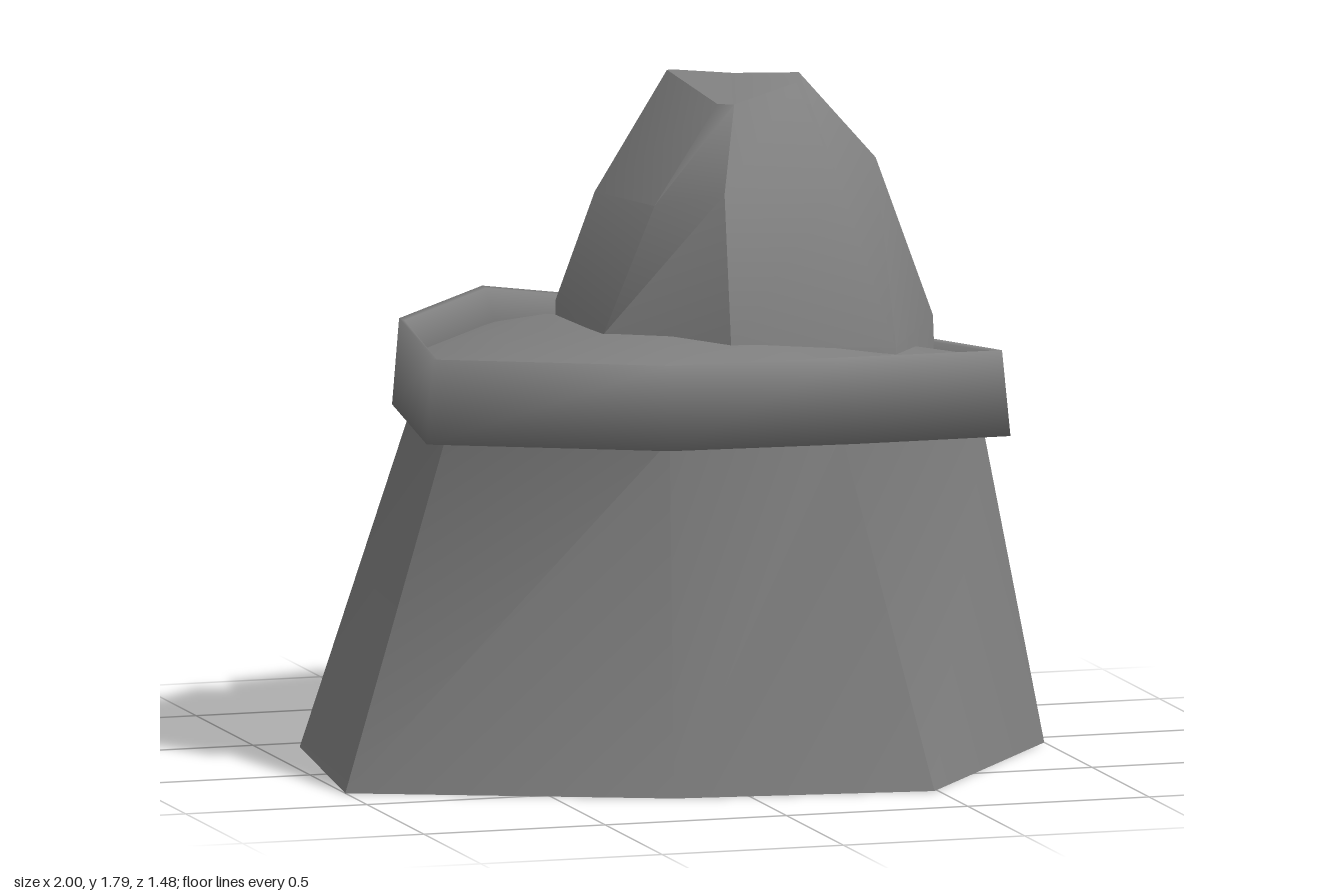
import * as THREE from 'three';
import { toCreasedNormals } from 'three/addons/utils/BufferGeometryUtils.js';

// Skin a stack of equal-length rings of [x, y, z]; optional bottom cap and top cap centres
function loft(rings, { bottom, top, crease }) {
  const pos = [];
  const tri = (a, b, c) => pos.push(...a, ...b, ...c);
  const n = rings[0].length;
  for (let r = 0; r < rings.length - 1; r++) {
    const lo = rings[r], hi = rings[r + 1];
    for (let i = 0; i < n; i++) {
      const j = (i + 1) % n;
      tri(lo[i], hi[i], lo[j]);
      tri(hi[i], hi[j], lo[j]);
    }
  }
  const last = rings[rings.length - 1];
  for (let i = 0; i < n; i++) {
    const j = (i + 1) % n;
    if (bottom) tri(bottom, rings[0][i], rings[0][j]);
    if (top) tri(top, last[j], last[i]);
  }
  const geo = new THREE.BufferGeometry();
  geo.setAttribute('position', new THREE.Float32BufferAttribute(pos, 3));
  return toCreasedNormals(geo, THREE.MathUtils.degToRad(crease));
}

// Plan outline [x, z] scaled about the middle, with a height per corner
const ring = (plan, heights, s = 1) =>
  plan.map(([x, z], i) => [x * s, Array.isArray(heights) ? heights[i] : heights, z * s]);

export function createModel() {
  const group = new THREE.Group();
  const stone = new THREE.MeshStandardMaterial({ color: 0x808080 });
  stone.name = 'stone';
  const add = (name, geo) => {
    const mesh = new THREE.Mesh(geo, stone);
    mesh.name = name;
    group.add(mesh);
  };

  const foot = [[1, 0.08], [0.49, 0.74], [-0.2, 0.65], [-1, 0.31], [-0.89, -0.44], [-0.42, -0.72], [0.42, -0.54]];
  const ledge = [[0.91, 0.07], [0.34, 0.53], [-0.2, 0.61], [-0.75, 0.23], [-0.67, -0.33], [-0.35, -0.6], [0.4, -0.46]];
  const ledgeLow = [0.82, 0.9, 0.92, 0.905, 0.92, 0.94, 0.87];
  const ledgeHigh = [1.05, 1.13, 1.145, 1.13, 1.15, 1.18, 1.1];
  const domeEdge = [1.03, 1.08, 1.08, 1.05, 1.05, 1.08, 1.05];
  const domeMid = [1.08, 1.12, 1.14, 1.13, 1.12, 1.13, 1.1];

  // Broad tapering base block with a gently domed top
  add('baseRock', loft([
    ring(foot, 0),
    ring(ledge, ledgeLow.map((y) => y + 0.02), 0.92),
    ring(ledge, domeEdge, 0.965),
    ring(ledge, domeMid, 0.65),
  ], { bottom: [0, 0, 0], top: [0, 1.15, 0], crease: 44 }));

  // Overhanging rim around the block
  const rimBottom = ring(ledge, ledgeLow);
  add('ledgeRim', loft([
    rimBottom,
    ring(ledge, ledgeHigh, 0.975),
    ring(ledge, ledgeHigh.map((y) => y - 0.005), 0.955),
    ring(ledge, ledgeLow.map((y) => y + 0.03), 0.85),
    rimBottom,
  ], { crease: 179 }));

  // Tall spire rising from the ground at the back
  add('spire', loft([
    [[0.77, 0, -0.02], [0.58, 0, 0.2], [0.08, 0, 0.27], [-0.22, 0, 0.03], [-0.22, 0, -0.37], [0.18, 0, -0.74], [0.61, 0, -0.52]],
    [[0.74, 1.13, -0.07], [0.56, 1.09, 0.18], [0.08, 1.13, 0.26], [-0.2, 1.14, 0.03], [-0.21, 1.17, -0.36], [0.2, 1.07, -0.67], [0.61, 1.09, -0.54]],
    [[0.56, 1.57, 0], [0.42, 1.53, 0.13], [0.09, 1.52, 0.17], [-0.05, 1.47, 0], [-0.13, 1.47, -0.27], [0.21, 1.53, -0.52], [0.47, 1.53, -0.43]],
    [[0.38, 1.79, -0.1], [0.36, 1.77, -0.06], [0.17, 1.73, 0], [0.13, 1.73, -0.02], [0.06, 1.79, -0.24], [0.08, 1.79, -0.24], [0.3, 1.74, -0.3]],
  ], { bottom: [0.25, 0, -0.2], top: [0.22, 1.785, -0.17], crease: 44 }));

  return group;
}
